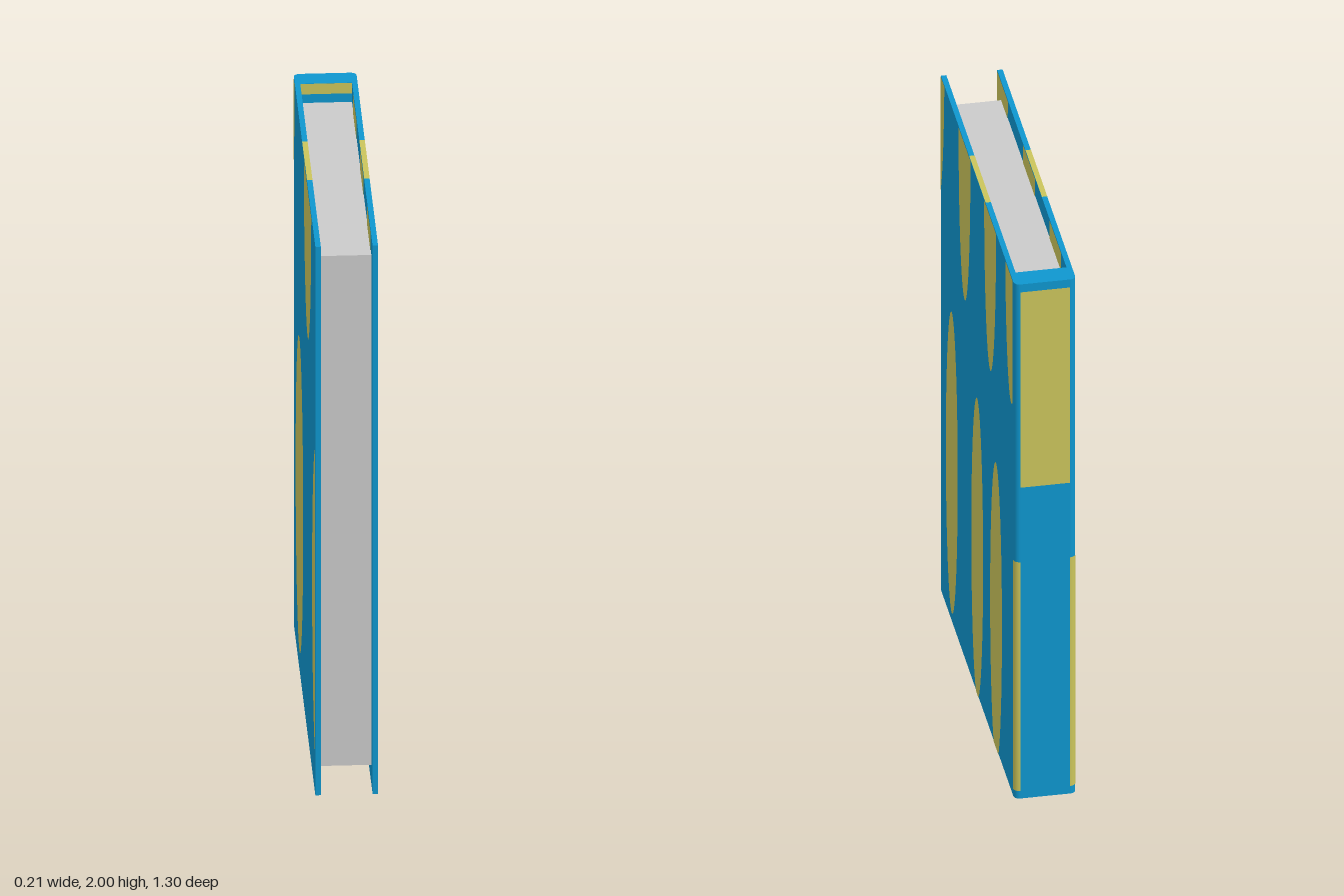
import * as THREE from 'three';

const W = 0.103, IN = 0.085, D = 0.65, H = 2, SPINE = 0.575, R = 0.02, LIFT = 0.0015;

function material(name, color) {
  const m = new THREE.MeshStandardMaterial({ color });
  m.name = name;
  return m;
}

// Keep the part of a polygon where sign * p[axis] <= sign * limit
function clip(points, axis, sign, limit) {
  const out = [];
  points.forEach((p, i) => {
    const q = points[(i + 1) % points.length];
    const a = sign * (limit - p[axis]), b = sign * (limit - q[axis]);
    if (a >= 0) out.push(p);
    if (a * b < 0) out.push(p.clone().lerp(q, a / (a - b)));
  });
  return out;
}

// Oval on a cover face, cut off at the edges of the board
function spotGeometry(z, y, rz, ry, facing, zMin) {
  let pts = [];
  for (let i = 0; i < 64; i++) {
    const t = (i / 64) * Math.PI * 2;
    pts.push(new THREE.Vector2(z + rz * Math.cos(t), y + ry * Math.sin(t)));
  }
  pts = clip(pts, 'x', 1, D);
  pts = clip(pts, 'x', -1, zMin);
  pts = clip(pts, 'y', 1, H);
  pts = clip(pts, 'y', -1, 0);
  pts.forEach((p) => { p.x *= -facing; });
  return new THREE.ShapeGeometry(new THREE.Shape(pts)).rotateY(facing * Math.PI / 2);
}

export function createModel() {
  const model = new THREE.Group();
  model.name = 'book';
  const blue = material('coverBlue', 0x0e96ce);
  const yellow = material('spotYellow', 0xcac45b);
  const paper = material('paperGrey', 0xcacaca);

  function add(name, geometry, mat, x = 0, y = 0, z = 0) {
    const mesh = new THREE.Mesh(geometry, mat);
    mesh.name = name;
    mesh.position.set(x, y, z);
    model.add(mesh);
    return mesh;
  }

  // Cover: U-shaped outline with rounded spine corners, extruded upward
  const u = new THREE.Shape();
  u.moveTo(-W, -D);
  u.lineTo(-IN, -D);
  u.lineTo(-IN, SPINE);
  u.lineTo(IN, SPINE);
  u.lineTo(IN, -D);
  u.lineTo(W, -D);
  u.lineTo(W, D - R);
  u.absarc(W - R, D - R, R, 0, Math.PI / 2, false);
  u.lineTo(-W + R, D);
  u.absarc(-W + R, D - R, R, Math.PI / 2, Math.PI, false);
  u.closePath();
  add('cover', new THREE.ExtrudeGeometry(u, { depth: H, bevelEnabled: false, curveSegments: 6 })
    .rotateX(-Math.PI / 2), blue);

  // Page block
  add('pages', new THREE.BoxGeometry(IN * 2, 1.86, SPINE * 2), paper, 0, 1, 0);

  // Oval spots: [z, y, rz, ry]
  const spots = (name, x, facing, zMin, list) => list.forEach((s) =>
    add(name, spotGeometry(...s, facing, zMin), yellow, x + facing * LIFT));

  spots('leftCoverSpot', W, 1, -D + 0.025, [
    [0.45, 0.62, 0.105, 0.585], [0, 0.57, 0.105, 0.582], [-0.333, 0.53, 0.105, 0.58],
    [0.685, 2.1, 0.105, 0.583], [0.225, 1.975, 0.105, 0.58],
    [-0.228, 1.985, 0.105, 0.58], [-0.6, 2.09, 0.105, 0.58],
  ]);
  spots('rightCoverSpot', -W, -1, -D + 0.025, [
    [-0.275, 0.65, 0.227, 0.57], [0.21, 2.03, 0.222, 0.57],
    [0.705, 0.71, 0.225, 0.57], [-0.775, 2.1, 0.225, 0.57],
  ]);
  spots('rightInnerSpot', -IN, 1, -SPINE, [
    [0.555, 2.2, 0.11, 0.57], [0.08, 2.05, 0.105, 0.57], [-0.385, 2.05, 0.105, 0.57],
    [0.315, 0.1, 0.115, 0.57], [-0.16, 0.1, 0.11, 0.57], [-0.475, -0.3, 0.09, 0.57],
  ]);
  spots('leftInnerSpot', IN, -1, -SPINE, [
    [0.45, 2.05, 0.105, 0.57], [0.03, 2.05, 0.1, 0.57], [-0.38, 2.05, 0.105, 0.57],
    [0.315, 0.1, 0.115, 0.57], [-0.16, 0.1, 0.11, 0.57],
  ]);

  // Yellow patches on the board edges and the spine corners
  for (const s of [1, -1]) {
    const edge = () => new THREE.PlaneGeometry(W - IN, 0.29);
    add('topEdgePatch', edge().rotateX(-Math.PI / 2), yellow, s * (W + IN) / 2, H + LIFT, 0.005);
    add('bottomEdgePatch', edge().rotateX(Math.PI / 2), yellow, s * (W + IN) / 2, -LIFT, 0.005);

    const start = s > 0 ? Math.PI / 2 : Math.PI;
    add('spineCornerStripe', new THREE.CylinderGeometry(R + LIFT, R + LIFT, 0.89, 6, 1, true, start, Math.PI / 2),
      yellow, s * (W - R), 0.475, -D + R);
  }

  // Spine patches, outside and inside
  add('spinePatch', new THREE.PlaneGeometry((W - R) * 2, 0.76).rotateY(Math.PI), yellow, 0, 1.59, -D - LIFT);
  add('spineInnerTopPatch', new THREE.PlaneGeometry(IN * 2, 0.038), yellow, 0, H - 0.019, -SPINE + LIFT);
  add('spineInnerBottomPatch', new THREE.PlaneGeometry(IN * 2, 0.06), yellow, 0, 0.03, -SPINE + LIFT);

  return model;
}
